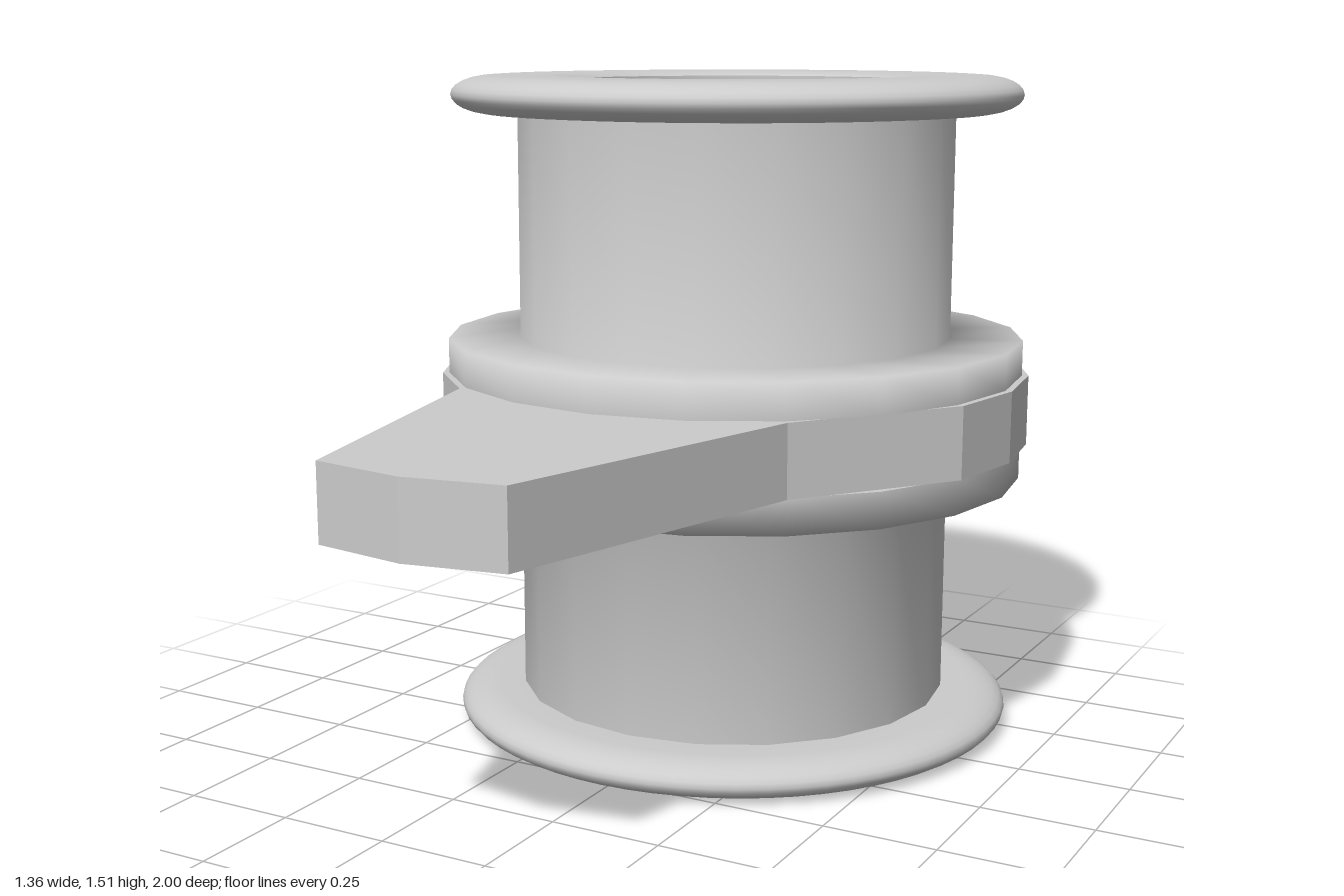
import * as THREE from 'three';

const SIDES = 20;
const AXIS_Z = -0.32; // pipe axis
const MID_Y = 0.755; // mirror plane of the two pipe halves
const material = new THREE.MeshStandardMaterial({ color: 0xcccccc });

function lathe(name, points, segments) {
  const geometry = new THREE.LatheGeometry(points.map(([r, y]) => new THREE.Vector2(r, y)), segments);
  const mesh = new THREE.Mesh(geometry, material);
  mesh.name = name;
  return mesh;
}

// One pipe half, measured upward from the mirror plane; repeated points keep an edge sharp
function pipeHalf(name) {
  const half = new THREE.Group();
  half.name = name;
  half.add(lathe('pipeWithCollar', [
    [0.4, 0.715], [0.4, 0.08], [0.4, 0.08],
    [0.665, 0.08], [0.665, 0.08],
    [0.665, 0.16], [0.5, 0.16],
    [0.5, 0.715], [0.5, 0.715], [0.4, 0.715],
  ], SIDES));

  // End flange with a rounded rim
  const mid = 0.713, h = 0.042;
  const profile = [[0.41, mid + h - 0.012], [0.41, mid - h + 0.012], [0.425, mid - h]];
  for (let i = 0; i <= 12; i++) {
    const a = -Math.PI / 2 + (i / 12) * Math.PI;
    profile.push([0.56 + 0.09 * Math.cos(a), mid + h * Math.sin(a)]);
  }
  profile.push([0.425, mid + h], [0.41, mid + h - 0.012]);
  half.add(lathe('endFlange', profile, 64));
  return half;
}

// Slide plate: disc with a tapering handle and a half-round opening
function slidePlate() {
  const shape = new THREE.Shape();
  const R = 0.68;
  for (let i = 3; i <= 17; i++) {
    const a = Math.PI / 2 + (i - 1) * (2 * Math.PI / SIDES);
    const x = R * Math.cos(a), z = R * Math.sin(a);
    if (i === 3) shape.moveTo(x, z);
    else shape.lineTo(x, z);
  }
  shape.lineTo(R * Math.cos(0.3 * Math.PI), R * Math.sin(0.3 * Math.PI));
  shape.lineTo(0.21, 1.285);
  shape.lineTo(0, 1.32);
  shape.lineTo(-0.21, 1.285);
  shape.closePath();

  const hole = new THREE.Path();
  for (let i = 0; i <= SIDES / 2; i++) {
    const a = -i * (2 * Math.PI / SIDES);
    const x = 0.243 * Math.cos(a), z = 0.243 * Math.sin(a);
    if (i === 0) hole.moveTo(x, z);
    else hole.lineTo(x, z);
  }
  hole.closePath();
  shape.holes.push(hole);

  const geometry = new THREE.ExtrudeGeometry(shape, { depth: 0.16, bevelEnabled: false });
  geometry.rotateX(Math.PI / 2).translate(0, 0.08, 0);
  const mesh = new THREE.Mesh(geometry, material);
  mesh.name = 'slidePlate';
  return mesh;
}

export function createModel() {
  const model = new THREE.Group();
  model.name = 'slideValve';
  const body = new THREE.Group();
  body.name = 'valveBody';
  body.position.set(0, MID_Y, AXIS_Z);

  const lower = pipeHalf('lowerPipe');
  lower.rotation.x = Math.PI;
  body.add(pipeHalf('upperPipe'), lower, slidePlate());

  model.add(body);
  return model;
}
